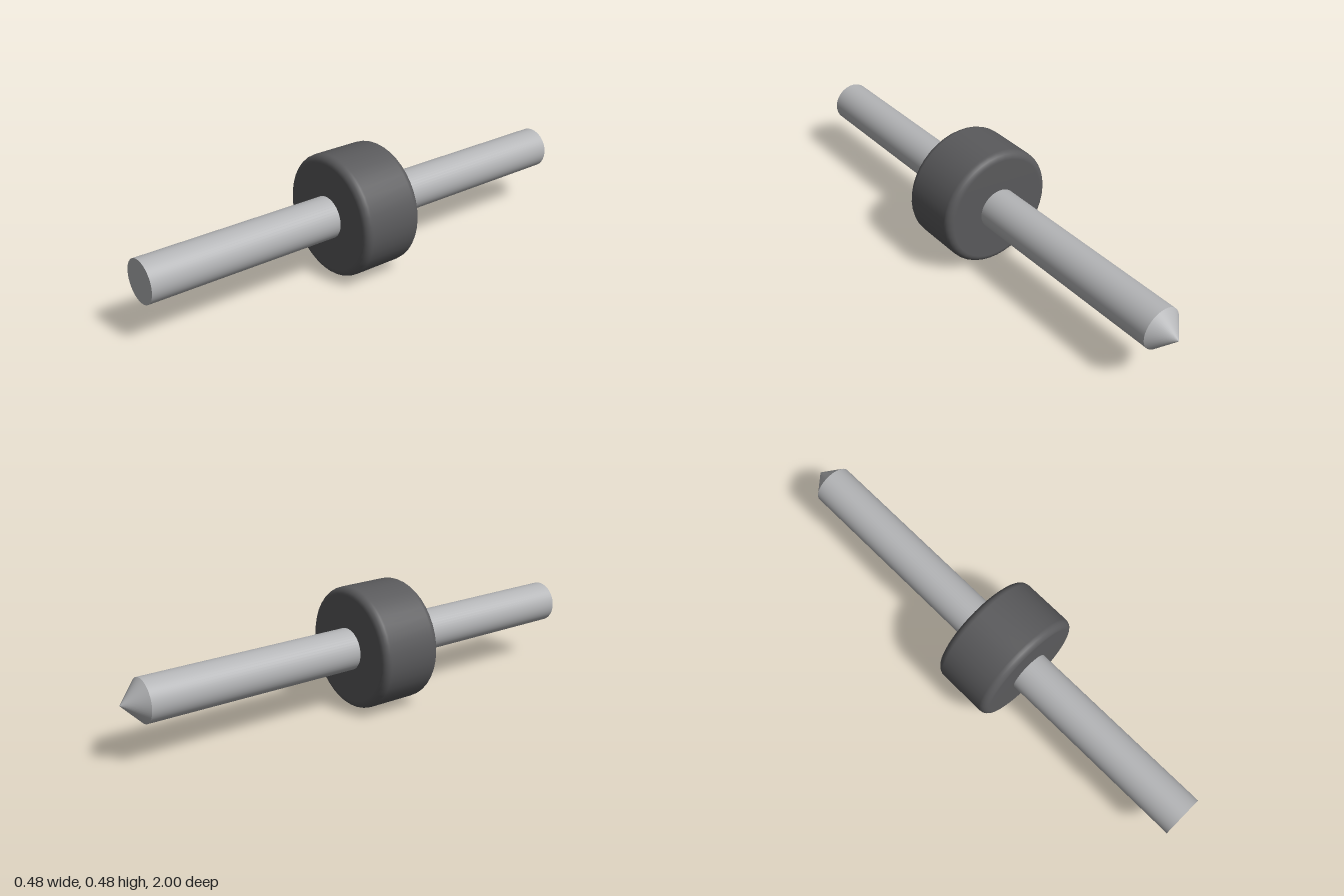
import * as THREE from 'three';

const AXIS_Y = 0.242;      // height of the common axis
const SHAFT_RADIUS = 0.083;
const WHEEL_RADIUS = 0.241;

const mat = (name, color) => {
  const m = new THREE.MeshStandardMaterial({ color });
  m.name = name;
  return m;
};

export function createModel() {
  const metal = mat('light grey metal', 0xb4b5b7);
  const rubber = mat('dark grey rubber', 0x5a5a5c);
  const model = new THREE.Group();
  model.name = 'shaftWithCollar';

  // Adds a turned part, lying along z
  const add = (name, geometry, material, z) => {
    geometry.rotateX(Math.PI / 2);
    const mesh = new THREE.Mesh(geometry, material);
    mesh.name = name;
    mesh.position.set(0, AXIS_Y, z);
    model.add(mesh);
  };

  // Straight shaft, flat at the front, open where the tip joins it
  const shaftBack = -0.92, shaftFront = 1;
  const length = shaftFront - shaftBack;
  add('shaft', new THREE.CylinderGeometry(SHAFT_RADIUS, SHAFT_RADIUS, length, 48, 1, true),
    metal, (shaftFront + shaftBack) / 2);
  const cap = new THREE.CircleGeometry(SHAFT_RADIUS, 48).rotateX(-Math.PI / 2);
  add('shaftEnd', cap, metal, shaftFront);

  // Conical point at the back
  const tip = new THREE.ConeGeometry(SHAFT_RADIUS, 0.08, 48, 1, true).rotateX(Math.PI);
  add('shaftTip', tip, metal, shaftBack - 0.04);

  // Collar with rounded rims, profile from back to front
  const half = 0.13, r = 0.03;
  const profile = [new THREE.Vector2(0, -half)];
  for (const [cy, start] of [[-half + r, -Math.PI / 2], [half - r, 0]]) {
    for (let i = 0; i <= 6; i++) {
      const a = start + (i / 6) * Math.PI / 2;
      profile.push(new THREE.Vector2(WHEEL_RADIUS - r + r * Math.cos(a), cy + r * Math.sin(a)));
    }
  }
  profile.push(new THREE.Vector2(0, half));
  add('collar', new THREE.LatheGeometry(profile, 40), rubber, 0.08);

  return model;
}
